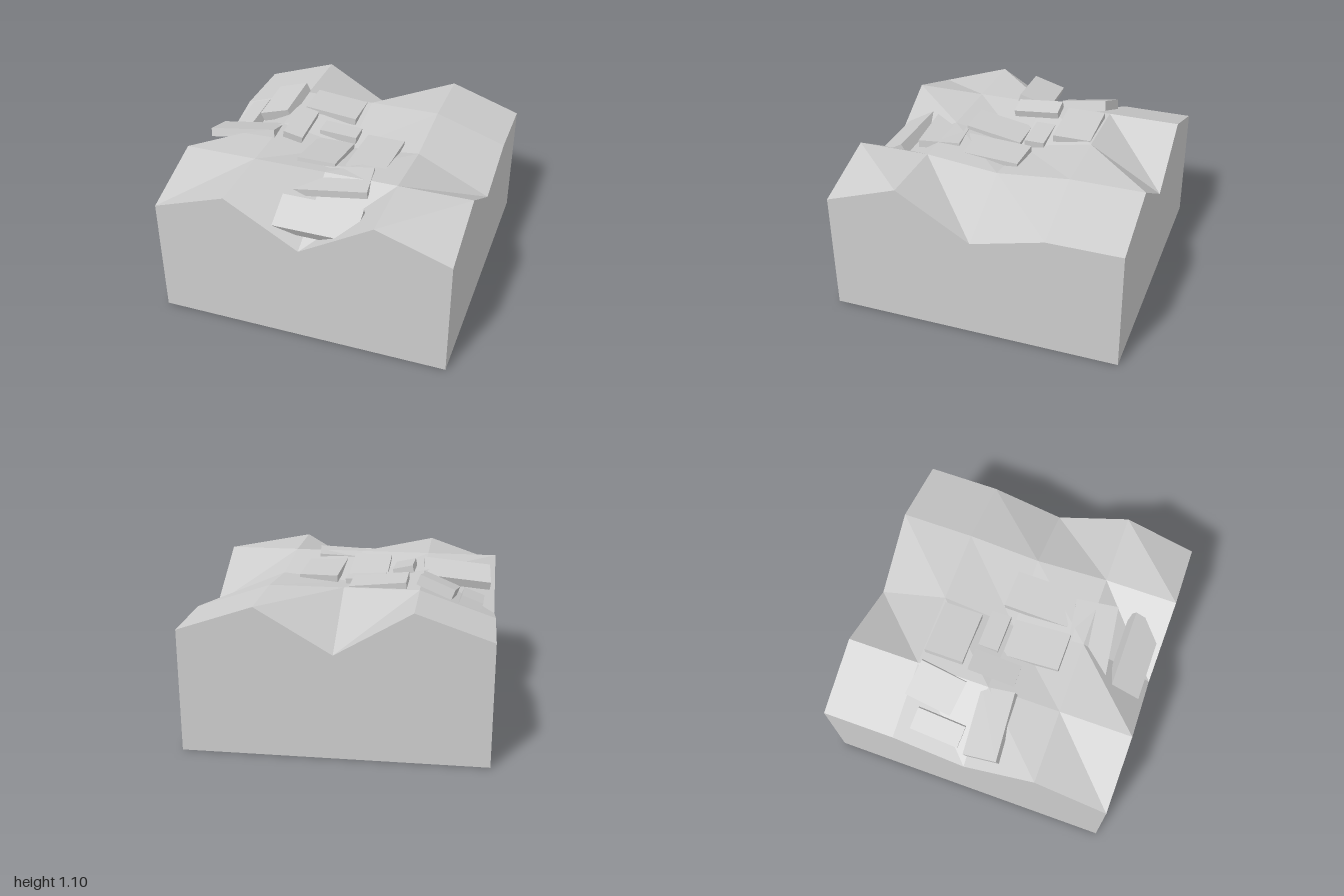
import * as THREE from 'three';

const material = new THREE.MeshStandardMaterial({ color: 0xcccccc, flatShading: true });

// Ground heights: rows run from back (z = -1) to front (z = 1), columns from x = -1 to x = 1
const heights = [
  [0.83, 1, 0.705, 1, 0.83],
  [0.83, 1, 1, 1, 0.83],
  [0.705, 1, 0.9, 0.95, 0.705],
  [1, 1, 1, 1, 1],
  [0.83, 1, 0.705, 1, 0.83],
];
const N = 4;

function terrainGeometry() {
  const positions = [];
  const top = (i, j) => [i / 2 - 1, heights[j][i], j / 2 - 1];
  const base = (i, j) => [i / 2 - 1, 0, j / 2 - 1];
  const tri = (a, b, c) => positions.push(...a, ...b, ...c);
  // corners counter-clockwise, split along b-d
  const quad = (a, b, c, d) => { tri(a, b, d); tri(b, c, d); };

  // Upper surface and underside
  for (let j = 0; j < N; j++) {
    for (let i = 0; i < N; i++) {
      quad(top(i, j), top(i, j + 1), top(i + 1, j + 1), top(i + 1, j));
    }
  }
  quad(base(0, 0), base(N, 0), base(N, N), base(0, N));

  // Four walls down to the base
  const wall = (p, q) => quad(top(...p), base(...p), base(...q), top(...q));
  for (let k = 0; k < N; k++) {
    wall([k, N], [k + 1, N]);
    wall([k + 1, 0], [k, 0]);
    wall([N, k + 1], [N, k]);
    wall([0, k], [0, k + 1]);
  }
  const geometry = new THREE.BufferGeometry();
  geometry.setAttribute('position', new THREE.Float32BufferAttribute(positions, 3));
  geometry.computeVertexNormals();
  return geometry;
}

// Slabs: centre of the upper face, [width, thickness, depth], rotation
const slabs = [
  { at: [-0.85, 0.9, -0.23], size: [0.15, 0.07, 0.34], turn: [0.12, -0.03, 0.35] },
  { at: [-0.63, 1.02, -0.32], size: [0.25, 0.07, 0.33], turn: [0.2, -0.08, 0.38] },
  { at: [-0.73, 0.99, 0.09], size: [0.47, 0.06, 0.24], turn: [-0.3, 0.04, 0.13] },
  { at: [-0.22, 1.025, -0.35], size: [0.38, 0.05, 0.27], turn: [0, 0, -0.1] },
  { at: [-0.1, 0.975, -0.1], size: [0.27, 0.05, 0.14], turn: [0, 0, -0.06] },
  { at: [-0.36, 1.045, 0], size: [0.14, 0.05, 0.33], turn: [0.1, 0, -0.22] },
  { at: [0.23, 0.975, 0.13], size: [0.27, 0.05, 0.46], turn: [-0.03, -0.03, 0] },
  { at: [-0.1, 0.975, 0.2], size: [0.27, 0.05, 0.4], turn: [-0.17, 0, 0] },
  { at: [0.07, 0.985, 0.53], size: [0.5, 0.05, 0.29], turn: [0.02, 0.14, 0.07] },
  { at: [0.085, 0.9, 0.865], size: [0.55, 0.08, 0.23], turn: [0.52, 0, 0] },
];

export function createModel() {
  const model = new THREE.Group();
  model.name = 'rockyGround';

  const ground = new THREE.Mesh(terrainGeometry(), material);
  ground.name = 'ground';
  model.add(ground);

  // Stone slabs lying on the ground
  const path = new THREE.Group();
  path.name = 'stoneSlabs';
  slabs.forEach(({ at, size, turn }, i) => {
    const geometry = new THREE.BoxGeometry(...size).translate(0, -size[1] / 2, 0);
    const slab = new THREE.Mesh(geometry, material);
    slab.name = `stoneSlab${i + 1}`;
    slab.position.set(...at);
    slab.rotation.set(...turn);
    path.add(slab);
  });
  model.add(path);
  return model;
}
